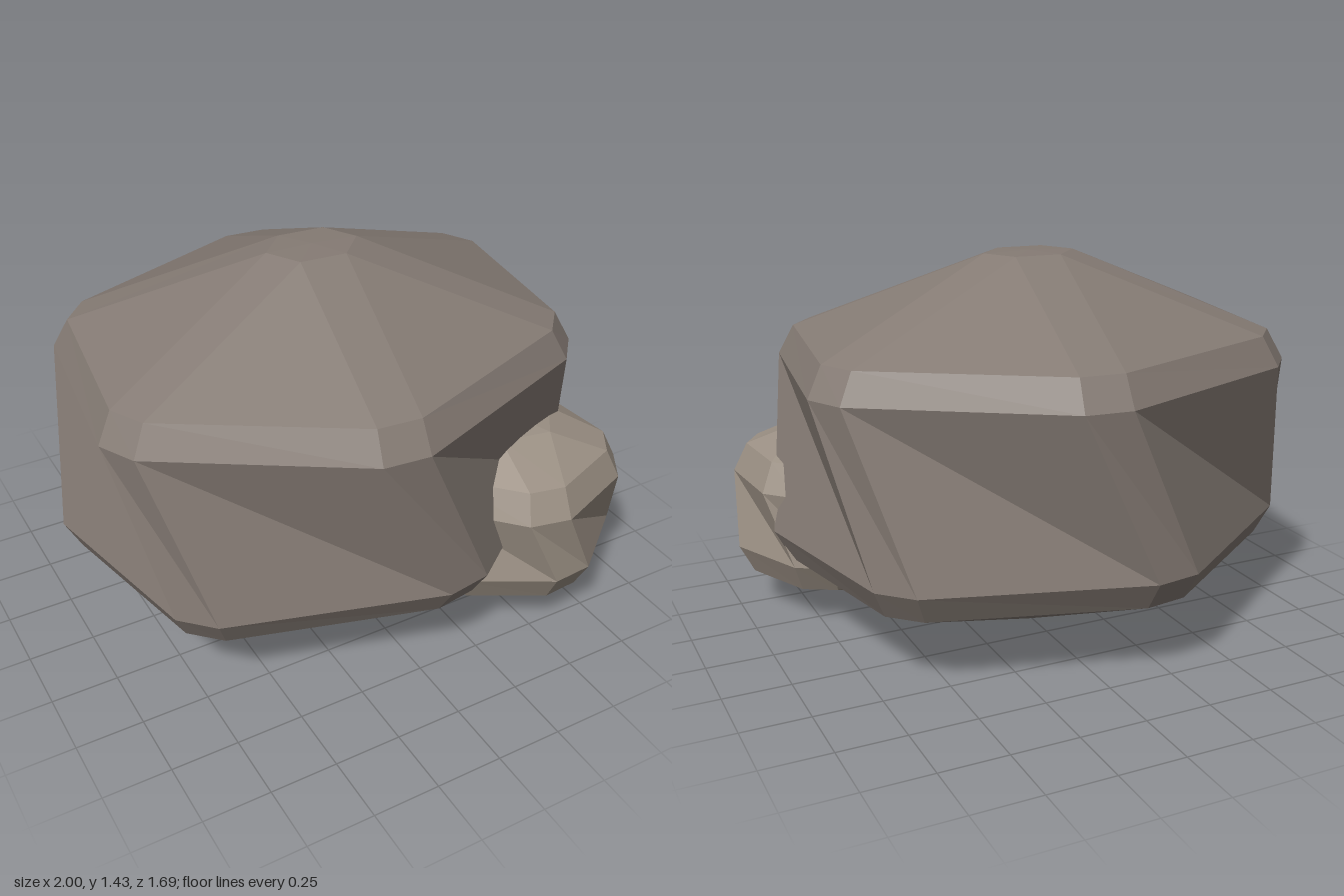
import * as THREE from 'three';

// Ring of bevelled corners (two points each) on an ellipse.
// apex rings merge neighbouring bevel points at the middle of each face.
function ring(o, r) {
  const pts = [];
  const step = 360 / o.sides;
  for (let k = 0; k < o.sides; k++) {
    for (const s of [-1, 1]) {
      const half = r.apex ? step / 2 : o.bevel;
      const t = THREE.MathUtils.degToRad(r.turn + k * step + s * half);
      pts.push(new THREE.Vector3(o.x + r.rx * Math.cos(t), r.y, o.z + r.rz * Math.sin(t)));
    }
  }
  return pts;
}

// Twisted, bevelled stone lofted through its rings from bottom to top
function stone(name, color, o) {
  const rings = o.rings.map((r) => ring(o, r));
  const pos = [];
  const tri = (a, b, c) => {
    const n = b.clone().sub(a).cross(c.clone().sub(a));
    if (n.length() > 1e-7) for (const p of [a, b, c]) pos.push(p.x, p.y, p.z);
  };
  for (let j = 0; j < rings.length - 1; j++) {
    const lo = rings[j], up = rings[j + 1];
    for (let i = 0; i < lo.length; i++) {
      const n = (i + 1) % lo.length;
      tri(lo[i], up[i], up[n]);
      tri(lo[i], up[n], lo[n]);
    }
  }
  const geo = new THREE.BufferGeometry();
  geo.setAttribute('position', new THREE.Float32BufferAttribute(pos, 3));
  geo.computeVertexNormals();
  const mesh = new THREE.Mesh(geo, new THREE.MeshStandardMaterial({ color, flatShading: true }));
  mesh.name = name;
  return mesh;
}

export function createModel() {
  const group = new THREE.Group();
  group.name = 'rocks';

  // Large six-sided boulder
  const lo = 19.5, hi = 36.5;
  group.add(stone('boulder', 0x857b74, {
    x: -0.04, z: 0, sides: 6, bevel: 5,
    rings: [
      { y: 0, rx: 0, rz: 0, turn: lo, apex: true },
      { y: 0.005, rx: 0.175, rz: 0.135, turn: lo, apex: true },
      { y: 0.29, rx: 0.93, rz: 0.78, turn: lo },
      { y: 0.4, rx: 0.99, rz: 0.845, turn: lo },
      { y: 1.03, rx: 0.99, rz: 0.845, turn: hi },
      { y: 1.14, rx: 0.93, rz: 0.78, turn: hi },
      { y: 1.425, rx: 0.175, rz: 0.135, turn: hi, apex: true },
      { y: 1.43, rx: 0, rz: 0, turn: hi, apex: true },
    ],
  }));

  // Small five-sided stone leaning on its front corner
  const a = 13, b = 31;
  group.add(stone('smallStone', 0x9a8f83, {
    x: 0.58, z: 0.45, sides: 5, bevel: 11,
    rings: [
      { y: 0.05, rx: 0, rz: 0, turn: a, apex: true },
      { y: 0.055, rx: 0.17, rz: 0.14, turn: a, apex: true },
      { y: 0.15, rx: 0.365, rz: 0.335, turn: a },
      { y: 0.26, rx: 0.42, rz: 0.39, turn: a },
      { y: 0.54, rx: 0.42, rz: 0.39, turn: b },
      { y: 0.65, rx: 0.365, rz: 0.335, turn: b },
      { y: 0.745, rx: 0.17, rz: 0.14, turn: b, apex: true },
      { y: 0.76, rx: 0, rz: 0, turn: b, apex: true },
    ],
  }));
  return group;
}
